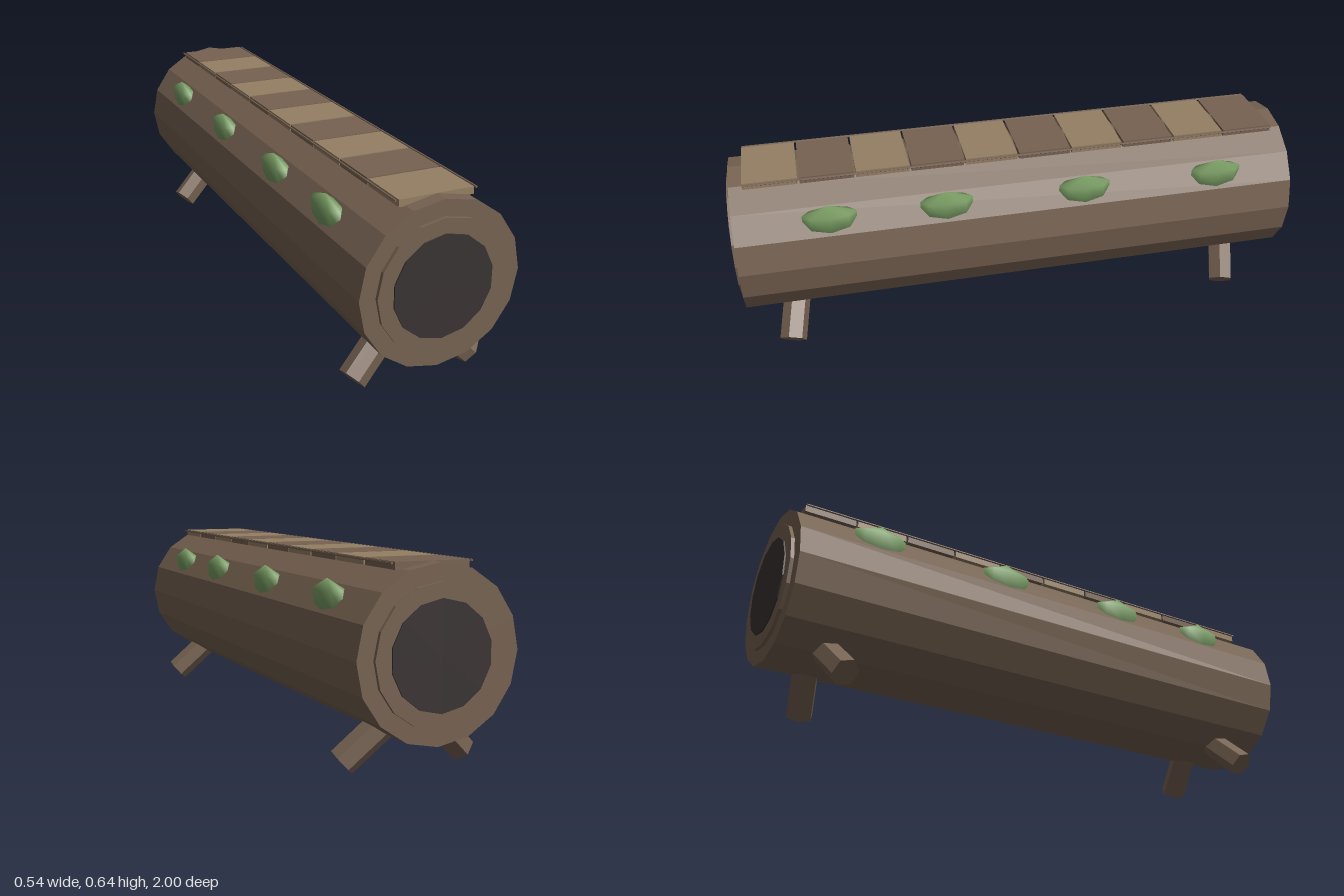
import * as THREE from 'three';

export function createModel() {
  const root = new THREE.Group();
  root.name = 'hollowLog';

  const paint = (name, color, flatShading = true) => {
    const m = new THREE.MeshStandardMaterial({ color, flatShading });
    m.name = name;
    return m;
  };
  const bark = paint('bark brown', 0x766251);
  const lightWood = paint('light wood', 0x957f64);
  const hollow = paint('dark hollow', 0x3a3333);
  const moss = paint('moss green', 0x7a9e64, false);

  const add = (name, geometry, material, x = 0, y = 0, z = 0) => {
    const mesh = new THREE.Mesh(geometry, material);
    mesh.name = name;
    mesh.position.set(x, y, z);
    root.add(mesh);
    return mesh;
  };
  // Cylinder lying along z
  const rod = (radius, length, sides) =>
    new THREE.CylinderGeometry(radius, radius, length, sides).rotateX(Math.PI / 2);

  // Trunk with a raised ring and a dark opening at each end
  const axisY = 0.38;
  add('trunk', rod(0.268, 1.966, 16), bark, 0, axisY, 0);
  for (const s of [1, -1]) {
    add('endRing', rod(0.215, 0.03, 16), bark, 0, axisY, s * 0.98);
    add('endOpening', rod(0.167, 0.02, 14), hollow, 0, axisY, s * 0.99);
  }

  // Walkway planks in alternating tones, back to front
  const step = 0.188;
  for (let i = 0; i < 10; i++) {
    add('plank', new THREE.BoxGeometry(0.248, 0.023, 0.181),
      i % 2 ? lightWood : bark, 0, 0.637, (i - 4.5) * step);
  }

  for (const s of [1, -1]) {
    // Thin rail beside the planks
    add('rail', rod(0.004, 1.87, 5), bark, s * 0.133, 0.645, 0);

    // Moss tufts along the flank
    for (const z of [0.665, 0.27, -0.215, -0.7]) {
      const tuft = add('mossTuft', new THREE.SphereGeometry(1, 8, 3), moss, s * 0.213, 0.523, z);
      tuft.scale.set(0.038, 0.064, 0.105);
      tuft.rotation.z = -s * 0.13;
    }

    // Splayed hexagonal legs, leaning towards the front
    const length = 0.24;
    for (const footZ of [0.84, -0.78]) {
      const leg = add('leg', new THREE.CylinderGeometry(0.047, 0.047, length, 6), bark);
      leg.rotation.set(-0.28, 0, s * 0.79);
      const up = new THREE.Vector3(0, length / 2, 0).applyEuler(leg.rotation);
      leg.position.set(s * 0.209, 0.038, footZ).add(up);
    }
  }
  return root;
}
